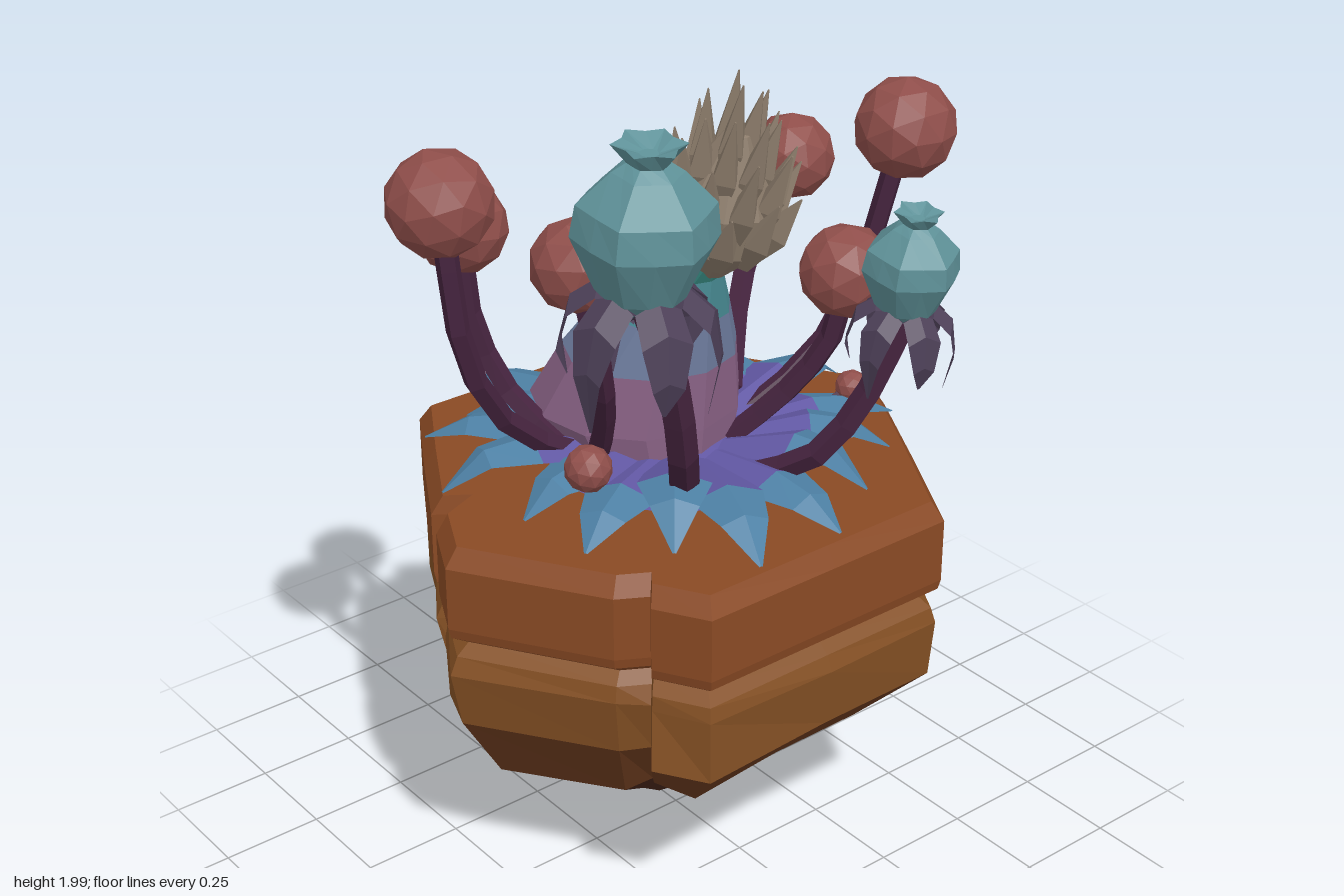
import * as THREE from 'three';

const V = (x, y, z) => new THREE.Vector3(x, y, z);
const mat = (color) => new THREE.MeshStandardMaterial({ color, flatShading: true, roughness: 0.9, side: THREE.DoubleSide });
const M = {
  slab: mat(0x8a4a24), rock: mat(0x845024), rockMid: mat(0x6a3a1e), tip: mat(0x4a281b),
  bulbLow: mat(0x8c6488), bulbMid: mat(0x6f7ea0), bulbHigh: mat(0x4b8f98), neck: mat(0x36877f),
  petalIn: mat(0x6258a4), petalOut: mat(0x4d80a4), stem: mat(0x46243f), leaf: mat(0x4d4058),
  ball: mat(0x8f4e4a), pod: mat(0x5f9299), spike: mat(0x8d7d6c),
};

function mesh(name, geometry, material, parent) {
  const m = new THREE.Mesh(geometry, material);
  m.name = name;
  parent.add(m);
  return m;
}

function seeded(seed) {
  return () => {
    seed = (seed * 16807) % 2147483647;
    return seed / 2147483647 - 0.5;
  };
}

function fromTriangles(tris) {
  const g = new THREE.BufferGeometry().setFromPoints(tris);
  g.computeVertexNormals();
  return g;
}

// Skin between rings listed from bottom to top, with optional end caps
function loft(rings, capBottom = true, capTop = true) {
  const tris = [], n = rings[0].length;
  for (let j = 0; j < rings.length - 1; j++) {
    for (let i = 0; i < n; i++) {
      const k = (i + 1) % n, a = rings[j][i], b = rings[j][k], c = rings[j + 1][k], d = rings[j + 1][i];
      tris.push(a, c, b, a, d, c);
    }
  }
  const cap = (ring, up) => {
    const mid = ring.reduce((s, p) => s.add(p), V(0, 0, 0)).divideScalar(n);
    ring.forEach((p, i) => {
      const q = ring[(i + 1) % n];
      tris.push(mid, up ? q : p, up ? p : q);
    });
  };
  if (capBottom) cap(rings[0], false);
  if (capTop) cap(rings[rings.length - 1], true);
  return fromTriangles(tris);
}

const ring = (x, y, z, r, n, rib = 0) => Array.from({ length: n }, (_, i) => {
  const a = (i / n) * Math.PI * 2, s = r * (i % 2 ? 1 - rib : 1);
  return V(x + Math.cos(a) * s, y, z + Math.sin(a) * s);
});

// Ridged leaf strip along a path
function blade(path, widths, side, ridge) {
  const rows = path.map((p, i) => [
    p.clone().addScaledVector(side, widths[i]),
    p.clone().add(V(0, ridge * widths[i], 0)),
    p.clone().addScaledVector(side, -widths[i]),
  ]);
  const tris = [];
  for (let i = 0; i < rows.length - 1; i++) {
    for (let j = 0; j < 2; j++) {
      const a = rows[i][j], b = rows[i][j + 1], c = rows[i + 1][j + 1], d = rows[i + 1][j];
      tris.push(a, d, b, b, d, c);
    }
  }
  return fromTriangles(tris);
}

function buildRock(root) {
  // Hexagonal outline with cracks cut into the edges
  const outline = [[0.56, 0], [0.56, 0.35], [0.44, 0.42], [0.4, 0.39], [0.36, 0.46], [0.03, 0.67], [-0.11, 0.6],
    [-0.15, 0.5], [-0.19, 0.56], [-0.4, 0.44], [-0.6, 0.32], [-0.6, 0], [-0.6, -0.32], [-0.3, -0.49], [-0.05, -0.64],
    [-0.01, -0.58], [0.05, -0.62], [0.3, -0.48], [0.56, -0.33]];
  const rnd = seeded(41);
  const layer = (y, s, cx = 0, jitter = 0) => outline.map(([x, z]) => {
    const k = s * (1 + rnd() * jitter);
    return V(x * k + cx, y + rnd() * jitter * 0.3, z * k);
  });
  mesh('rockSlab', loft([layer(0.745, 0.92), layer(0.775, 0.99), layer(0.8, 1), layer(0.955, 1), layer(1.0, 0.95)]), M.slab, root);
  const shoulder = layer(0.53, 0.98, 0, 0.08), waist = layer(0.36, 0.74, -0.02, 0.14);
  mesh('upperRock', loft([shoulder, layer(0.68, 0.99, 0, 0.03), layer(0.72, 0.97), layer(0.75, 0.91)], false), M.rock, root);
  mesh('middleRock', loft([waist, shoulder], false, false), M.rockMid, root);
  mesh('rockTip', loft([layer(0.01, 0.02, -0.07), layer(0.18, 0.35, -0.05, 0.12), waist], true, false), M.tip, root);
}

function buildPetals(root) {
  const petals = new THREE.Group();
  petals.name = 'petals';
  root.add(petals);
  mesh('petalDisc', new THREE.ConeGeometry(0.3, 0.07, 14), M.petalIn, petals).position.set(0, 1.05, 0);
  const tips = [[-0.61, 0.17], [-0.59, -0.12], [-0.5, -0.29], [-0.41, -0.4], [-0.22, -0.42], [-0.06, -0.56], [0.17, -0.53],
    [0.3, -0.4], [0.42, -0.22], [0.53, -0.04], [0.53, 0.19], [0.37, 0.3], [0.25, 0.45], [0.05, 0.47], [-0.17, 0.54],
    [-0.42, 0.42], [-0.45, 0.28], [-0.5, 0.02]];
  tips.forEach(([x, z], i) => {
    const side = V(-z, 0, x).normalize(), lift = (i % 3) * 0.015;
    const at = (t, y) => V(x * t, y, z * t);
    const mid = at(0.62, 1.06 + lift);
    mesh('innerPetal', blade([at(0.25, 1.05), mid], [0.05, 0.085], side, 0.35), M.petalIn, petals);
    mesh('outerPetal', blade([mid, at(0.82, 1.055 + lift), at(1, 1.015)], [0.085, 0.055, 0.004], side, 0.35), M.petalOut, petals);
  });
}

function buildBulb(root) {
  const bands = [
    [M.bulbLow, [[-0.1, 1.02, 0.21], [-0.13, 1.12, 0.25], [-0.075, 1.27, 0.205]]],
    [M.bulbMid, [[-0.075, 1.27, 0.205], [-0.01, 1.39, 0.145]]],
    [M.bulbHigh, [[-0.01, 1.39, 0.145], [0.07, 1.5, 0.075]]],
    [M.neck, [[0.07, 1.5, 0.075], [0.11, 1.54, 0.055], [0.15, 1.61, 0.11]]],
  ];
  bands.forEach(([m, rows]) => mesh('bulb', loft(rows.map(([x, y, r]) => ring(x, y, 0.015, r, 11)), false, false), m, root));

  // Spiky crown leaning to the model's left
  const crown = new THREE.Group();
  crown.name = 'spikyCrown';
  crown.position.set(0.12, 1.52, 0);
  crown.rotation.z = -0.26;
  root.add(crown);
  mesh('crownCore', loft([[0, 0.04], [0.1, 0.12], [0.2, 0.12], [0.36, 0.03]].map(([y, r]) => ring(0, y, 0, r, 9))), M.spike, crown);
  const rows = [[10, 0.1, 0.07, 0.165, 0.27], [9, 0.09, 0.12, 0.135, 0.36], [7, 0.06, 0.18, 0.085, 0.43], [3, 0.02, 0.22, 0.035, 0.49]];
  rows.forEach(([n, r0, y0, r1, y1], row) => {
    for (let i = 0; i < n; i++) {
      const a = ((i + row * 0.5) / n) * Math.PI * 2, c = Math.cos(a), s = Math.sin(a);
      const base = V(c * r0, y0, s * r0), tip = V(c * r1, y1 - (i % 2) * 0.03, s * r1);
      const dir = tip.clone().sub(base), len = dir.length();
      const spike = mesh('spike', loft([[0, 0.015], [0.4, 0.037], [1, 0.002]].map(([t, r]) => ring(0, t * len, 0, r, 4))), M.spike, crown);
      spike.position.copy(base);
      spike.quaternion.setFromUnitVectors(V(0, 1, 0), dir.normalize());
    }
  });
}

function stem(points, r, root) {
  const curve = new THREE.CatmullRomCurve3(points.map((p) => V(...p)));
  mesh('stem', new THREE.TubeGeometry(curve, 6, r, 5), M.stem, root);
}

function buildBalls(root) {
  // Ball centre and radius, then the stem from its root upward
  const balls = [
    [[0.1, 1.7, -0.6], 0.122, [[0, 1.04, -0.2], [0.03, 1.16, -0.4], [0.04, 1.34, -0.53]]],
    [[-0.16, 1.58, -0.48], 0.105, [[-0.04, 1.1, -0.2], [-0.18, 1.25, -0.34], [-0.21, 1.4, -0.42]]],
    [[-0.03, 1.78, 0.6], 0.118, [[-0.08, 1.04, 0.2], [-0.07, 1.17, 0.4], [-0.03, 1.4, 0.55]]],
    [[-0.32, 1.57, 0.36], 0.11, [[-0.08, 1.05, 0.24], [-0.25, 1.17, 0.3], [-0.31, 1.35, 0.35]]],
    [[0.16, 1.65, 0.39], 0.104, [[-0.02, 1.05, 0.22], [0.08, 1.2, 0.27], [0.18, 1.4, 0.35]]],
    [[0.27, 1.49, -0.27], 0.108, [[0.08, 1.05, -0.1], [0.17, 1.18, -0.2], [0.24, 1.32, -0.26]]],
    [[0.13, 1.14, 0.35], 0.055, [[0.06, 1.03, 0.22], [0.1, 1.06, 0.3]]],
    [[0.12, 1.09, -0.44], 0.04, [[0.08, 1.03, -0.3], [0.1, 1.05, -0.38]]],
  ];
  balls.forEach(([c, r, path], i) => {
    const ball = mesh('fruitBall', new THREE.IcosahedronGeometry(r, 1), M.ball, root);
    ball.position.set(...c);
    ball.rotation.set(i, i * 2, 0);
    stem([...path, c], r > 0.08 ? 0.027 : 0.015, root);
  });
}

// Ribbed seed pod with a flared lip and a collar of drooping leaves
function buildPod(root, x, y, z, s, tilt, path) {
  const pod = new THREE.Group();
  pod.name = 'seedPod';
  pod.position.set(x, y, z);
  pod.scale.setScalar(s);
  pod.rotation.z = tilt;
  root.add(pod);
  const rows = [[-0.17, 0.04, 0], [-0.12, 0.1, 0.05], [0, 0.155, 0.1], [0.07, 0.145, 0.12], [0.14, 0.075, 0.15], [0.16, 0.045, 0.1], [0.2, 0.08, 0.25], [0.18, 0.02, 0]];
  mesh('podBody', loft(rows.map(([h, r, rib]) => ring(0, h, 0, r, 12, rib))), M.pod, pod);
  for (let i = 0; i < 6; i++) {
    const a = (i / 6) * Math.PI * 2 + 0.3, c = Math.cos(a), n = Math.sin(a), drop = (i % 2) * 0.06;
    const curl = [[0.01, -0.19], [0.09, -0.13], [0.15, -0.18], [0.17, -0.27], [0.15, -0.34 - drop]];
    mesh('podLeaf', blade(curl.map(([r, h]) => V(c * r, h, n * r)), [0.03, 0.05, 0.055, 0.035, 0.003], V(-n, 0, c), 0.5), M.leaf, pod);
  }
  stem([...path, [x, y - 0.15 * s, z]], 0.036 * Math.sqrt(s), root);
}

export function createModel() {
  const root = new THREE.Group();
  root.name = 'floatingRockPlant';
  buildRock(root);
  buildPetals(root);
  buildBulb(root);
  buildBalls(root);
  buildPod(root, 0.365, 1.78, 0.37, 1, -0.08, [[0.2, 1.03, 0.14], [0.3, 1.18, 0.22], [0.35, 1.42, 0.29]]);
  buildPod(root, 0.51, 1.585, -0.235, 0.7, -0.12, [[0.22, 1.03, -0.04], [0.38, 1.13, -0.1], [0.45, 1.27, -0.17]]);
  return root;
}
